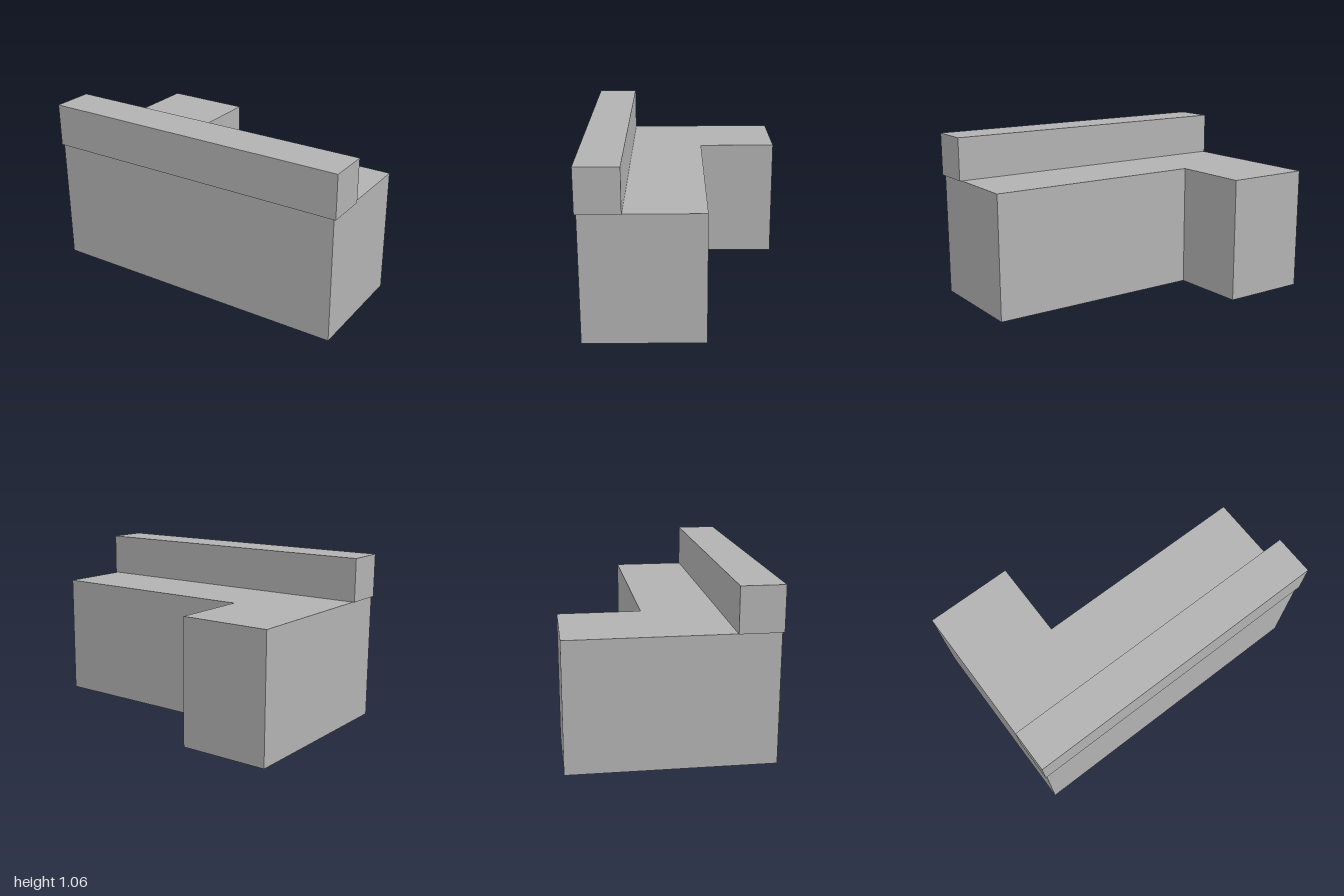
import * as THREE from 'three';

export function createModel() {
  const group = new THREE.Group();
  const grey = new THREE.MeshStandardMaterial({ color: 0xb2b2b2 });
  grey.name = 'grey';

  // L-shaped counter: plan drawn as (x, -z), then extruded upwards
  const height = 0.79;
  const plan = new THREE.Shape(
    [[-0.99, 0.61], [0.985, 0.61], [0.985, -0.115], [-0.425, -0.115], [-0.425, -0.62], [-0.99, -0.62]]
      .map(([x, z]) => new THREE.Vector2(x, -z))
  );
  const counterGeometry = new THREE.ExtrudeGeometry(plan, { depth: height, bevelEnabled: false });
  counterGeometry.rotateX(-Math.PI / 2);
  const counter = new THREE.Mesh(counterGeometry, grey);
  counter.name = 'counter';
  group.add(counter);

  // Raised ledge along the front edge, slightly overhanging
  const ledgeHeight = 0.273;
  const ledge = new THREE.Mesh(new THREE.BoxGeometry(2, ledgeHeight, 0.26), grey);
  ledge.name = 'frontLedge';
  ledge.position.set(0, height + ledgeHeight / 2, 0.49);
  group.add(ledge);

  return group;
}
